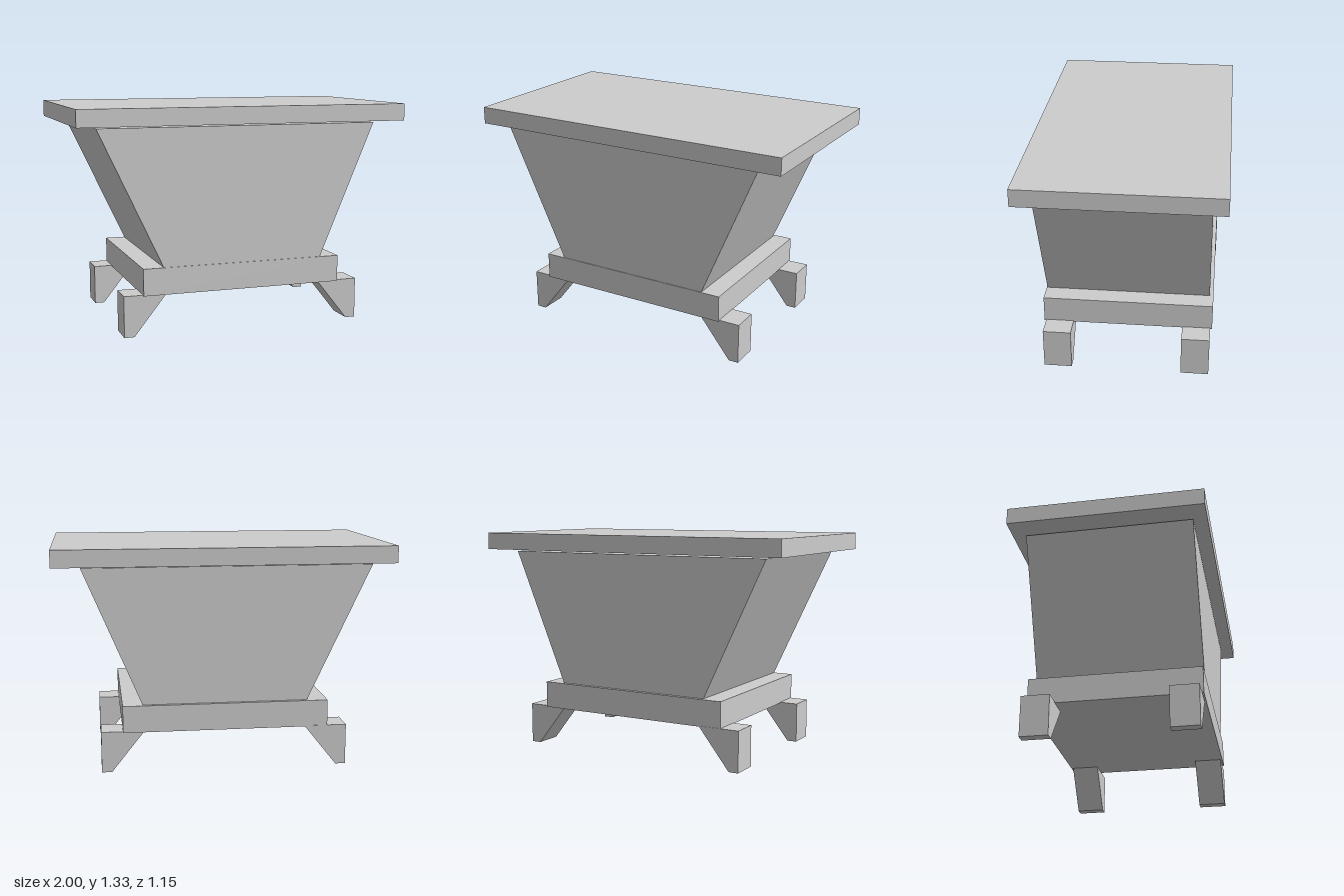
import * as THREE from 'three';

const grey = new THREE.MeshStandardMaterial({ color: 0xcccccc });
grey.name = 'light grey';

// Box between two corners
function block(name, x0, x1, y0, y1, z0, z1) {
  const mesh = new THREE.Mesh(new THREE.BoxGeometry(x1 - x0, y1 - y0, z1 - z0), grey);
  mesh.position.set((x0 + x1) / 2, (y0 + y1) / 2, (z0 + z1) / 2);
  mesh.name = name;
  return mesh;
}

// Front outline (x, y) extruded from z0 to z1
function prism(name, points, z0, z1) {
  const shape = new THREE.Shape(points.map(([x, y]) => new THREE.Vector2(x, y)));
  const geometry = new THREE.ExtrudeGeometry(shape, { depth: z1 - z0, bevelEnabled: false });
  geometry.translate(0, 0, z0);
  const mesh = new THREE.Mesh(geometry, grey);
  mesh.name = name;
  return mesh;
}

// Leg with a vertical outer side and a slanted inner side
function leg(name, side, outer, z0, z1) {
  const profile = [[outer - 0.06, 0], [outer, 0], [outer, 0.245], [outer - 0.255, 0.245]];
  return prism(name, profile.map(([x, y]) => [side * x, y]), z0, z1);
}

export function createModel() {
  const model = new THREE.Group();
  model.name = 'footedChest';

  // Flat lid, resting just clear of the body
  model.add(block('lid', -1, 1, 1.223, 1.325, -0.577, 0.577));

  // Body flaring out to both sides
  model.add(prism('body', [[-0.49, 0.395], [0.49, 0.395], [0.835, 1.211], [-0.875, 1.211]], -0.493, 0.496));

  // Base plinth
  model.add(block('base', -0.615, 0.61, 0.24, 0.4, -0.515, 0.5));

  // Four feet
  model.add(leg('frontLeftLeg', 1, 0.738, 0.322, 0.489));
  model.add(leg('backLeftLeg', 1, 0.738, -0.504, -0.337));
  model.add(leg('frontRightLeg', -1, 0.73, 0.322, 0.489));
  model.add(leg('backRightLeg', -1, 0.73, -0.518, -0.351));

  return model;
}
